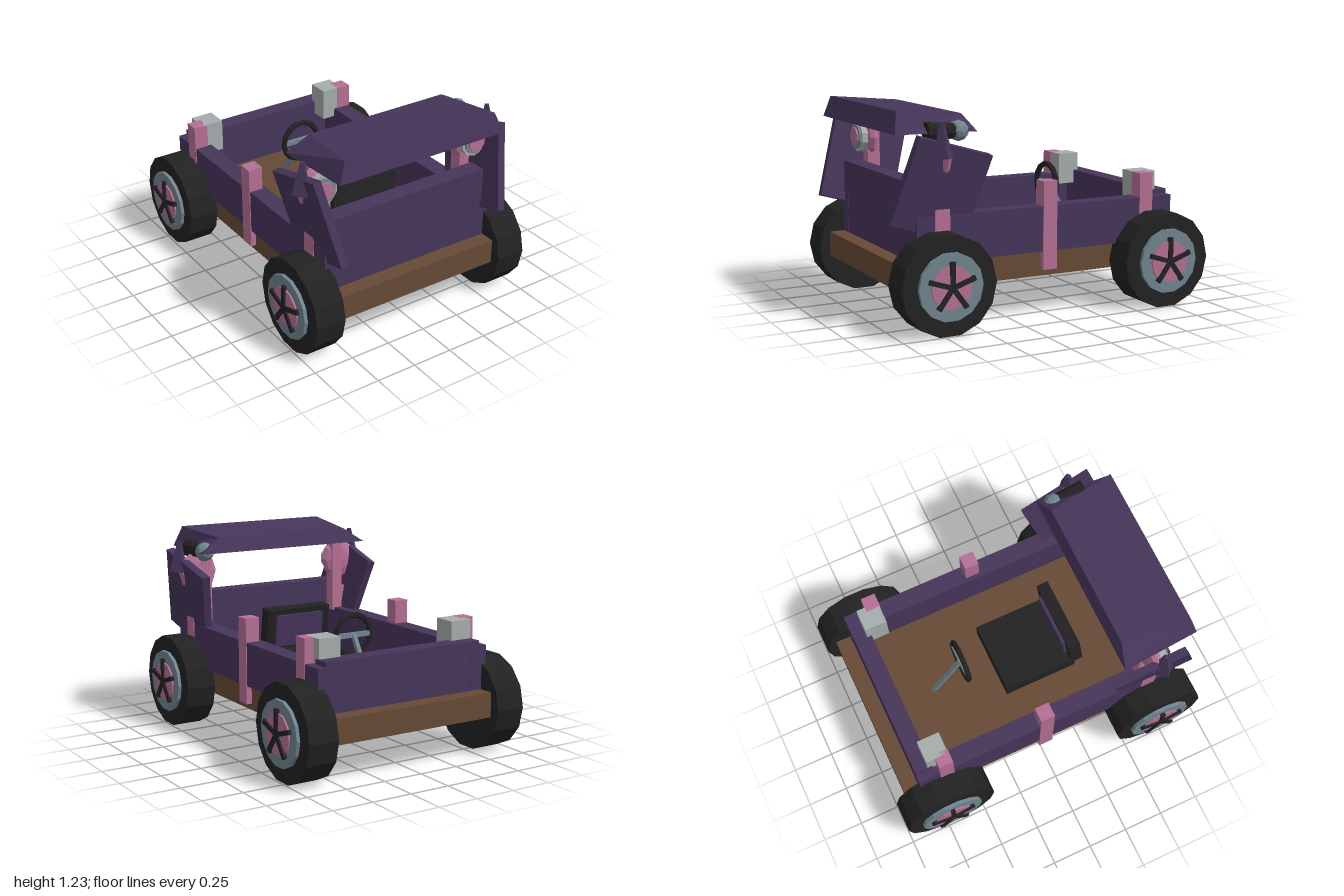
import * as THREE from 'three';

const mat = (name, color) => {
  const m = new THREE.MeshStandardMaterial({ color, flatShading: true });
  m.name = name;
  return m;
};

export function createModel() {
  const purple = mat('purple', 0x46355a), brown = mat('brown', 0x664a35), pink = mat('pink', 0xb57094);
  const teal = mat('tealGrey', 0x70858f), grey = mat('lightGrey', 0xa6adad), black = mat('black', 0x222222);
  const root = new THREE.Group();

  const add = (name, geo, m, x = 0, y = 0, z = 0, parent = root) => {
    const mesh = new THREE.Mesh(geo, m);
    mesh.name = name;
    mesh.position.set(x, y, z);
    parent.add(mesh);
    return mesh;
  };
  // box given by its extents
  const box = (name, m, x0, x1, y0, y1, z0, z1) =>
    add(name, new THREE.BoxGeometry(x1 - x0, y1 - y0, z1 - z0), m, (x0 + x1) / 2, (y0 + y1) / 2, (z0 + z1) / 2);
  // box for both sides, given by its extents on the left
  const pair = (name, m, x0, x1, ...rest) => {
    box(name, m, x0, x1, ...rest);
    box(name, m, -x1, -x0, ...rest);
  };

  // chassis and open body
  box('chassis', brown, -0.55, 0.55, 0.24, 0.39, -0.935, 0.935);
  pair('sideRail', purple, 0.47, 0.58, 0.39, 0.655, -0.84, 0.84);
  box('frontPanel', purple, -0.53, 0.53, 0.39, 0.835, 0.73, 0.838);
  box('backPanel', purple, -0.53, 0.53, 0.39, 0.685, -0.838, -0.73);

  // stakes along the rails, roof posts, rear blocks
  for (const z of [-0.66, 0, 0.685]) pair('stake', pink, 0.495, 0.585, 0.28, 0.8, z - 0.045, z + 0.045);
  pair('roofPost', pink, 0.455, 0.525, 0.64, 1.13, 0.63, 0.71);
  pair('rearBlock', grey, 0.385, 0.525, 0.6, 0.8, -0.76, -0.62);

  // roof: a box pulled in towards its sloping top
  const roof = new THREE.BoxGeometry(2, 2, 2);
  const p = roof.attributes.position;
  for (let i = 0; i < p.count; i++) {
    const s = Math.sign(p.getX(i)), top = p.getY(i) > 0, front = p.getZ(i) > 0;
    if (top) p.setXYZ(i, s * (front ? 0.51 : 0.46), front ? 1.24 : 1.205, front ? 0.925 : 0.51);
    else p.setXYZ(i, s * (front ? 0.56 : 0.595), 1.115, front ? 0.955 : 0.475);
  }
  add('roof', roof, purple);

  for (const s of [1, -1]) {
    // leaning side wing
    const wing = add('sideWing', new THREE.BoxGeometry(0.05, 0.515, 0.47), purple, s * 0.58, 0.804, 0.697);
    wing.rotation.set(-0.285, 0, -s * 0.18, 'ZXY');
    // spike on the wing
    const spike = add('wingSpike', new THREE.CylinderGeometry(0.016, 0.062, 0.19, 4), purple, s * 0.642, 1.078, 0.71);
    spike.rotation.z = s * 0.06;

    // headlamp
    const lamp = new THREE.Group();
    lamp.name = 'headlamp';
    lamp.position.set(s * 0.53, 0.98, 0.68);
    root.add(lamp);
    const shell = add('lampShell', new THREE.SphereGeometry(0.13, 10, 6), pink, 0, 0, 0, lamp);
    shell.rotation.x = Math.PI / 2;
    shell.scale.y = 0.38;
    [[0.095, 0.04, grey, 'lampRing'], [0.078, 0.052, teal, 'lampInnerRing'], [0.058, 0.062, pink, 'lampLens']]
      .forEach(([r, depth, m, name]) => {
        const g = new THREE.CylinderGeometry(r, r, depth, 10).rotateX(Math.PI / 2);
        add(name, g, m, 0, 0, 0.03 + depth / 2, lamp);
      });
  }

  // spotlight on the left roof corner
  add('spotlightBody', new THREE.CylinderGeometry(0.057, 0.042, 0.19, 9).rotateX(Math.PI / 2), black, 0.54, 1.12, 0.67);
  add('spotlightDome', new THREE.IcosahedronGeometry(0.06, 1), teal, 0.535, 1.118, 0.565);

  // seat facing the rear
  box('seatCushion', black, -0.225, 0.225, 0.39, 0.5, -0.1, 0.37);
  const back = new THREE.Group();
  back.name = 'seatBack';
  back.position.set(0, 0.605, 0.368);
  back.rotation.x = -0.12;
  root.add(back);
  add('backrest', new THREE.BoxGeometry(0.45, 0.3, 0.075), black, 0, 0, 0, back);
  add('backPad', new THREE.BoxGeometry(0.335, 0.2, 0.03), purple, 0, 0.015, -0.043, back);

  // steering wheel and column
  add('steeringWheel', new THREE.TorusGeometry(0.122, 0.018, 6, 14), black, 0, 0.685, -0.305);
  add('steeringBar', new THREE.BoxGeometry(0.23, 0.03, 0.018), teal, 0, 0.685, -0.31);
  const column = add('steeringColumn', new THREE.BoxGeometry(0.026, 0.36, 0.026), teal, 0, 0.535, -0.405);
  column.rotation.x = Math.atan2(0.19, 0.3);

  // wheels, built along +x from the tyre's inner face
  const disc = (r, w, n) => new THREE.CylinderGeometry(r, r, w, n).rotateZ(Math.PI / 2);
  for (const s of [1, -1]) for (const z of [0.715, -0.715]) {
    const wheel = new THREE.Group();
    wheel.name = 'wheel';
    wheel.position.set(s * 0.55, 0.289, z);
    if (s < 0) wheel.rotation.y = Math.PI;
    root.add(wheel);
    add('tyre', disc(0.288, 0.187, 14), black, 0.0935, 0, 0, wheel);
    add('rim', disc(0.195, 0.03, 14), teal, 0.193, 0, 0, wheel);
    add('hub', disc(0.125, 0.03, 12), pink, 0.203, 0, 0, wheel);
    for (let i = 0; i < 5; i++) {
      const g = new THREE.BoxGeometry(0.02, 0.145, 0.028).translate(0, 0.0725, 0);
      add('spoke', g, black, 0.22, 0, 0, wheel).rotation.x = (i * Math.PI * 2) / 5;
    }
  }
  return root;
}
